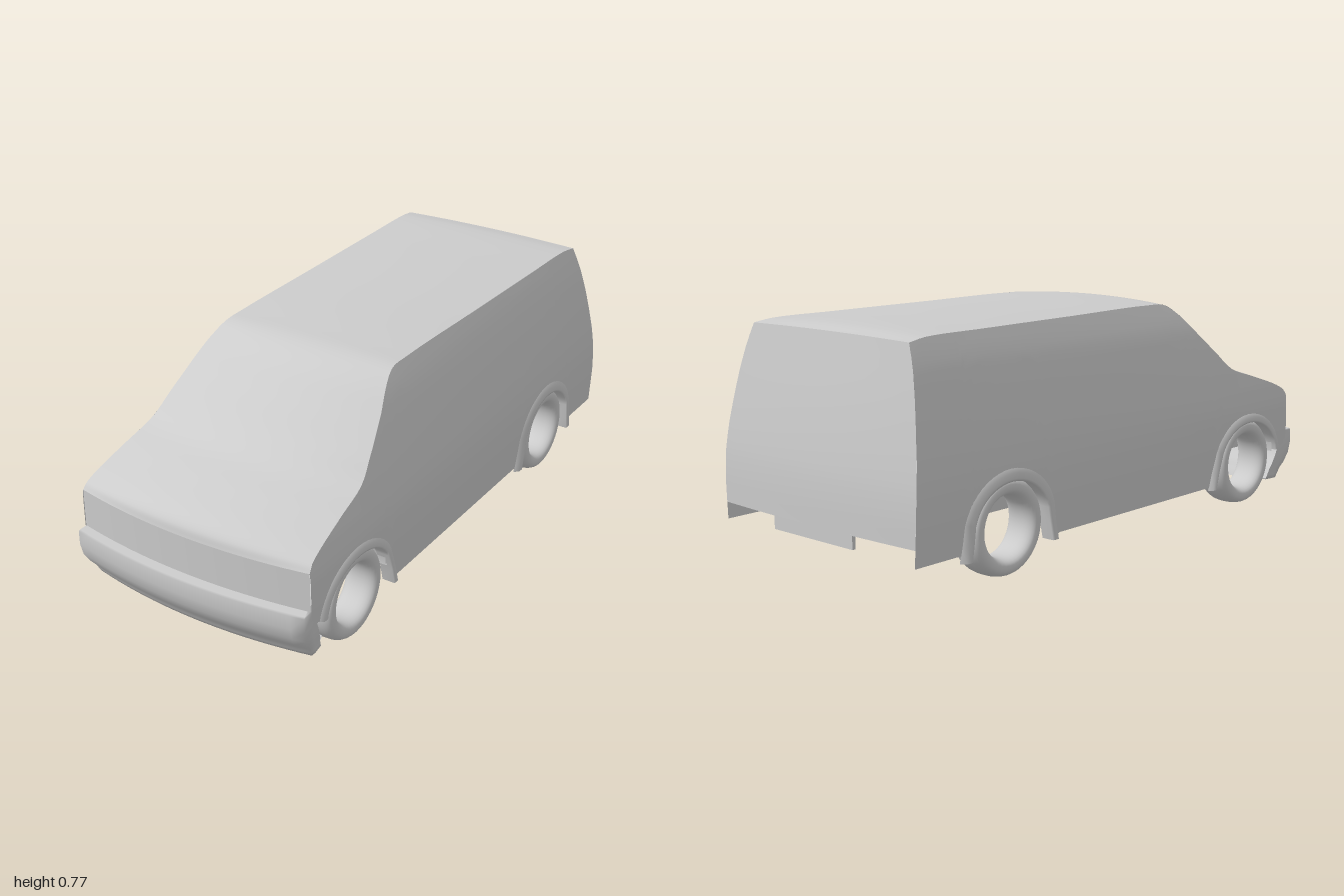
import * as THREE from 'three';

const mat = new THREE.MeshStandardMaterial({ color: 0xcccccc, side: THREE.DoubleSide });
const lerp = THREE.MathUtils.lerp, clamp = THREE.MathUtils.clamp;

// linear lookup in a table of [key, value] with rising keys
function lookup(table, k) {
  if (k <= table[0][0]) return table[0][1];
  for (let i = 1; i < table.length; i++) {
    const [a, va] = table[i - 1], [b, vb] = table[i];
    if (k <= b) return lerp(va, vb, (k - a) / (b - a || 1));
  }
  return table[table.length - 1][1];
}

// smooth surface through a grid of [x, y, z] points
function surface(rows) {
  const n = rows[0].length, index = [];
  for (let i = 0; i < rows.length - 1; i++)
    for (let j = 0; j < n - 1; j++) {
      const a = i * n + j, b = a + n;
      index.push(a, b, a + 1, b, b + 1, a + 1);
    }
  const g = new THREE.BufferGeometry();
  g.setAttribute('position', new THREE.Float32BufferAttribute(rows.flat(2), 3));
  g.setIndex(index);
  g.computeVertexNormals();
  return g;
}

// half width of the body at a height, narrowing towards the front of the roof
const widths = [[0.08, 0.43], [0.25, 0.438], [0.34, 0.437], [0.42, 0.43], [0.5, 0.417],
  [0.58, 0.402], [0.66, 0.383], [0.71, 0.366], [0.76, 0.346]];
const sideX = (y, z) =>
  lookup(widths, y) - 0.025 * clamp((z + 0.9) / 1.2, 0, 1.3) * clamp((y - 0.37) / 0.38, 0, 1);

// sections of the shell from nose to tail: centre z, y, then side edge z, y
const nose = [[0.962, 0.19, 0.92, 0.19], [0.964, 0.375, 0.92, 0.375]];
const hoodToRoof = [[0.964, 0.375, 0.92, 0.375], [0.955, 0.405, 0.905, 0.395], [0.925, 0.432, 0.86, 0.418],
  [0.8, 0.478, 0.73, 0.462], [0.68, 0.515, 0.6, 0.505], [0.6, 0.565, 0.53, 0.565], [0.5, 0.65, 0.44, 0.645],
  [0.4, 0.73, 0.365, 0.714], [0.32, 0.764, 0.305, 0.75], [0.2, 0.771, 0.2, 0.757], [-0.2, 0.772, -0.2, 0.757],
  [-0.6, 0.77, -0.6, 0.757], [-0.85, 0.765, -0.85, 0.756], [-0.925, 0.752, -0.92, 0.747]];
const tail = [[-0.925, 0.752, -0.92, 0.747], [-0.965, 0.55, -0.953, 0.55], [-0.993, 0.36, -0.979, 0.36],
  [-0.999, 0.27, -0.985, 0.27], [-1, 0.17, -0.986, 0.17]];

// resample sections along smooth curves
function refine(sections, n) {
  const curve = k => new THREE.CatmullRomCurve3(
    sections.map(s => new THREE.Vector3(0, s[k + 1], s[k])), false, 'centripetal');
  const c = curve(0), e = curve(2);
  return Array.from({ length: n + 1 }, (_, i) => {
    const p = c.getPoint(i / n), q = e.getPoint(i / n);
    return [p.z, p.y, q.z, q.y];
  });
}

// crowned surface between the two side edges
function crowned(sections) {
  return surface(sections.map(([cz, cy, ez, ey]) => {
    const row = [];
    for (let i = -10; i <= 10; i++) {
      const u = i / 10;
      row.push([u * sideX(ey, ez), lerp(cy, ey, u * u), lerp(cz, ez, u * u)]);
    }
    return row;
  }));
}

const topSections = refine(hoodToRoof, 78);
const topEdge = topSections.map(s => [s[2], s[3]]).reverse();
const rearEdge = tail.map(s => [s[3], s[2]]).reverse();

// wheel openings as [z, y], running from front to back
const WHEEL_Y = 0.16, FRONT_Z = 0.67, REAR_Z = -0.59;
function arch(cz, rx, a0, a1, before, after) {
  const pts = [...before];
  for (let i = 0; i <= 20; i++) {
    const a = lerp(a0, a1, i / 20);
    pts.push([cz + rx * Math.cos(a), WHEEL_Y + 0.143 * Math.sin(a)]);
  }
  return [...pts, ...after];
}
const frontArch = arch(FRONT_Z, 0.175, 0.12, 2.75, [], [[0.485, 0.15], [0.47, 0.09]]);
const rearArch = arch(REAR_Z, 0.165, 0.25, 2.89, [[-0.408, 0.085], [-0.42, 0.14]], [[-0.757, 0.14], [-0.765, 0.09]]);
const sill = [[0.92, 0.19], [0.86, 0.18], ...frontArch, [0.455, 0.1], [-0.36, 0.1],
  ...rearArch, [-0.795, 0.115], [-0.985, 0.115]];

// side panel: columns from the sill up to the roof edge
function sidePanel(s) {
  const cols = [sill[0]];
  for (let i = 1; i < sill.length; i++) {
    const [z0, y0] = sill[i - 1], [z1, y1] = sill[i];
    const n = Math.max(1, Math.ceil(Math.abs(z1 - z0) / 0.025));
    for (let k = 1; k <= n; k++) cols.push([lerp(z0, z1, k / n), lerp(y0, y1, k / n)]);
  }
  return surface(cols.map(([z, y]) => {
    const top = lookup(topEdge, z < -0.6 ? lerp(-0.6, -0.92, (z + 0.6) / -0.385) : z), col = [];
    for (let j = 0; j <= 20; j++) {
      const py = lerp(y, top, j / 20);
      const pz = z < -0.6 ? lerp(-0.6, lookup(rearEdge, py), (z + 0.6) / -0.385) : z;
      col.push([s * sideX(py, pz), py, pz]);
    }
    return col;
  }));
}

// raised lip around a wheel opening
function archLip(s, path, cz, width, out) {
  return surface(path.map(([z, y]) => {
    const d = new THREE.Vector2(z - cz, Math.max(0, y - WHEEL_Y)).normalize();
    const at = (t, x) => [s * x, y + d.y * width * t, z + d.x * width * t];
    const body = sideX(y + d.y * width, z);
    return [at(0, 0.4), at(0, out - 0.002), at(0.2, out), at(0.65, out - 0.001), at(1, body - 0.001)];
  }));
}

// open-centred tyre with a rounded section
function tyre() {
  const pts = [];
  for (let i = 0; i <= 28; i++) {
    const a = (i / 28) * Math.PI * 2, c = Math.cos(a), q = Math.sin(a);
    pts.push(new THREE.Vector2(0.126 + 0.03 * Math.sign(c) * Math.abs(c) ** 0.85,
      0.058 * Math.sign(q) * Math.abs(q) ** 0.75));
  }
  return new THREE.LatheGeometry(pts, 40).rotateZ(Math.PI / 2);
}

// wraparound bumper: a section of [inset, y] carried along the plan curve
function bumper() {
  const section = [[0.09, 0.243], [0.004, 0.243], [0, 0.238], [0, 0.19], [0.006, 0.15], [0.02, 0.115],
    [0.033, 0.095], [0.04, 0.075], [0.046, 0.06], [0.12, 0.06]];
  const plan = [[-0.43, 0.85], [-0.436, 0.91]];
  for (let i = -10; i <= 10; i++) plan.push([0.0436 * i, 1 - 0.045 * (i / 10) ** 2]);
  plan.push([0.436, 0.91], [0.43, 0.85]);
  return surface(plan.map(([x, z]) => section.map(([d, y]) => {
    const front = clamp((z - 0.85) / 0.1, 0, 1);
    const back = z < 0.9 ? 0.05 * clamp((y - 0.06) / 0.13, 0, 1) : 0;
    return [x * (1 - d), y, z - d * 1.4 * front + back - (z < 0.9 ? 0.015 : 0)];
  })));
}

// floor pan with four wheel notches
function floor() {
  const right = [[0.41, 0.93]];
  for (const cz of [FRONT_Z, REAR_Z])
    right.push([0.43, cz + 0.17], [0.29, cz + 0.17], [0.29, cz - 0.17], [0.43, cz - 0.17]);
  right.push([0.43, -0.985], [0.18, -0.997]);
  const left = right.map(([x, z]) => [-x, z]).reverse();
  const shape = new THREE.Shape([...right, ...left].map(([x, z]) => new THREE.Vector2(x, z)));
  return new THREE.ShapeGeometry(shape).rotateX(Math.PI / 2).translate(0, 0.17, 0);
}

export function createModel() {
  const model = new THREE.Group();
  const add = (name, geometry, x = 0, y = 0, z = 0) => {
    const mesh = new THREE.Mesh(geometry, mat);
    mesh.name = name;
    mesh.position.set(x, y, z);
    model.add(mesh);
    return mesh;
  };

  // shell
  add('nosePanel', crowned(nose));
  add('hoodWindshieldRoof', crowned(topSections));
  add('rearPanel', crowned(refine(tail, 20)));
  add('rearFlap', new THREE.BoxGeometry(0.36, 0.045, 0.012), 0, 0.15, -0.992);
  add('floorPan', floor());
  add('frontBumper', bumper());

  // both sides: panels, lips, wheel wells and tyres
  for (const [s, side] of [[1, 'left'], [-1, 'right']]) {
    add(side + 'SidePanel', sidePanel(s));
    add(side + 'FrontArchLip', archLip(s, frontArch, FRONT_Z, 0.032, 0.446));
    add(side + 'RearArchLip', archLip(s, rearArch, REAR_Z, 0.04, 0.446));
    for (const [end, z] of [['Front', FRONT_Z], ['Rear', REAR_Z]]) {
      add(side + end + 'Wheel', tyre(), s * 0.376, 0.158, z);
      add(side + end + 'WheelWell', new THREE.CylinderGeometry(0.17, 0.17, 0.14, 24, 1, true, 0, Math.PI)
        .rotateZ(Math.PI / 2), s * 0.36, 0.17, z);
      add(side + end + 'WellWall', new THREE.CircleGeometry(0.17, 24, 0, Math.PI)
        .rotateY(Math.PI / 2), s * 0.29, 0.17, z);
    }
  }
  return model;
}
